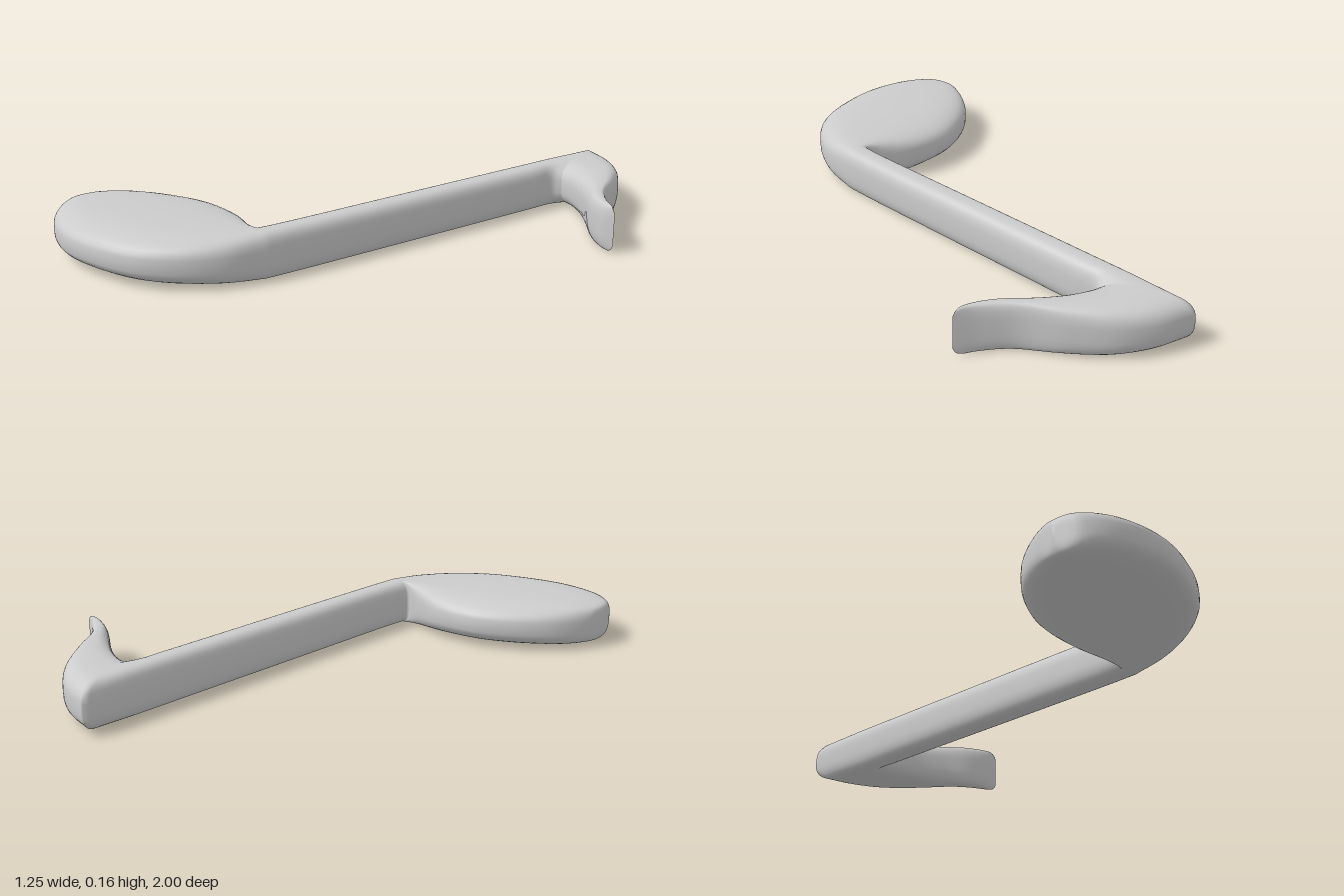
import * as THREE from 'three';

// Each part is a ribbon: rows of [leftX, leftZ, rightX, rightZ] from the head to the flag tip.
const HEAD = [
  [-0.63, 0.8, -0.63, 0.8], [-0.615, 0.725, -0.605, 0.89], [-0.553, 0.62, -0.525, 0.96],
  [-0.45, 0.53, -0.37, 0.995], [-0.315, 0.466, -0.21, 0.97], [-0.2, 0.452, -0.05, 0.9],
  [-0.12, 0.46, 0.055, 0.795], [-0.035, 0.487, 0.12, 0.67], [0.04, 0.515, 0.147, 0.53],
];
const STEM = [
  [0.04, 0.515, 0.147, 0.53], [0.046, 0.44, 0.15, 0.44], [0.052, 0, 0.157, 0],
  [0.06, -0.6, 0.163, -0.6], [0.063, -0.8, 0.165, -0.69], [0.065, -1, 0.19, -0.715],
];
const FLAG = [
  [0.065, -1, 0.19, -0.715], [0.19, -0.965, 0.24, -0.705], [0.295, -0.9, 0.32, -0.67],
  [0.385, -0.79, 0.4, -0.62], [0.465, -0.66, 0.495, -0.555], [0.55, -0.585, 0.57, -0.53],
  [0.622, -0.538, 0.622, -0.538],
];

const MID_Y = 0.09, HALF_HEIGHT = 0.082;
const STEPS = 8, RING = 40, POWER = 3;

const roundOff = (c) => Math.sign(c) * Math.abs(c) ** (2 / POWER);
// Height of a pillowed end, k running from 0 at the end to 1 inside
const endHeight = (k) => (1 - (1 - Math.min(k, 1)) ** POWER) ** (1 / POWER);

export function createModel() {
  const positions = [], parts = [];
  let rings = 0;

  // One rounded cross-section between the left and right outline
  function addRing(a, b, h) {
    for (let j = 0; j < RING; j++) {
      const t = (j / RING) * Math.PI * 2;
      const p = a.clone().lerp(b, (1 + roundOff(Math.cos(t))) / 2);
      positions.push(p.x, MID_Y + HALF_HEIGHT * h * roundOff(Math.sin(t)), p.z);
    }
    rings++;
  }

  function addPart(name, rows, heightAt) {
    const left = new THREE.CatmullRomCurve3(rows.map((r) => new THREE.Vector3(r[0], 0, r[1])));
    const right = new THREE.CatmullRomCurve3(rows.map((r) => new THREE.Vector3(r[2], 0, r[3])));
    const segments = rows.length - 1, count = segments * STEPS;
    const first = Math.max(rings - 1, 0); // share the ring at the joint
    for (let i = rings ? 1 : 0; i <= count; i++) {
      const t = i / count;
      addRing(left.getPoint(t), right.getPoint(t), heightAt(t * segments, segments));
    }
    const index = [];
    for (let i = first; i < rings - 1; i++) {
      for (let j = 0; j < RING; j++) {
        const k = (j + 1) % RING, p = i * RING, q = p + RING;
        index.push(p + j, q + j, p + k, q + j, q + k, p + k);
      }
    }
    parts.push({ name, index });
  }

  addPart('noteHead', HEAD, (s) => endHeight(s / 5));
  addPart('stem', STEM, () => 1);
  addPart('flag', FLAG, (s, n) => endHeight(0.12 + (n - s) * 1.2));

  // Normals are worked out over the whole body so the joints stay smooth
  const body = new THREE.BufferGeometry();
  body.setAttribute('position', new THREE.Float32BufferAttribute(positions, 3));
  body.setIndex(parts.flatMap((p) => p.index));
  body.computeVertexNormals();

  const group = new THREE.Group();
  group.name = 'musicalNote';
  const material = new THREE.MeshStandardMaterial({ color: 0xcccccc });
  for (const { name, index } of parts) {
    body.setIndex(index);
    const mesh = new THREE.Mesh(body.toNonIndexed(), material);
    mesh.name = name;
    group.add(mesh);
  }
  return group;
}
